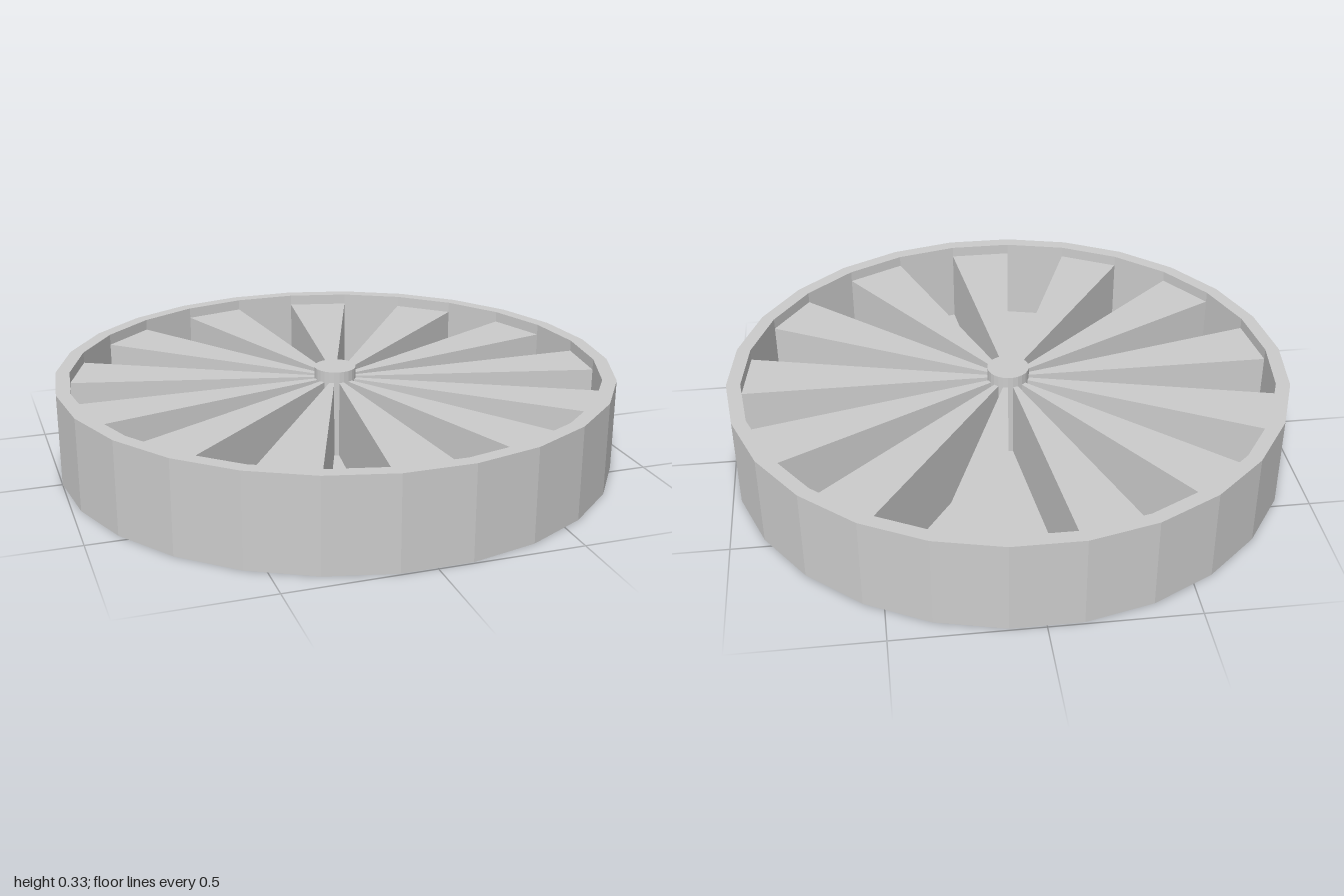
import * as THREE from 'three';

const SIDES = 26;      // alternating raised and sunken wedges
const HUB_R = 0.075;
const INNER_R = 0.95;
const TOP = 0.33;
const HIGH = 0.29;
const LOW = 0.01;

const material = new THREE.MeshStandardMaterial({
  color: 0xcccccc, flatShading: true, side: THREE.DoubleSide,
});

// Point on spoke line i at radius r and height y
function point(i, r, y) {
  const a = (i / SIDES) * Math.PI * 2;
  return [r * Math.cos(a), y, r * Math.sin(a)];
}

// Mesh from a list of four-cornered faces
function quadMesh(name, quads) {
  const positions = [];
  for (const [a, b, c, d] of quads) positions.push(...a, ...b, ...c, ...a, ...c, ...d);
  const geometry = new THREE.BufferGeometry();
  geometry.setAttribute('position', new THREE.Float32BufferAttribute(positions, 3));
  geometry.computeVertexNormals();
  return namedMesh(name, geometry);
}

function namedMesh(name, geometry) {
  const mesh = new THREE.Mesh(geometry, material);
  mesh.name = name;
  return mesh;
}

// Upright face between spoke lines i and j
function upright(i, j, r, y0, y1) {
  return [point(i, r, y0), point(j, r, y0), point(j, r, y1), point(i, r, y1)];
}

export function createModel() {
  const group = new THREE.Group();
  group.name = 'pleatedWheel';

  // Faceted outer band, open below
  const band = new THREE.CylinderGeometry(1, 1, TOP, SIDES, 1, true, Math.PI / 2);
  band.translate(0, TOP / 2, 0);
  group.add(namedMesh('outerBand', band));

  // Flat lip on top of the band
  const lip = new THREE.RingGeometry(INNER_R, 1, SIDES, 1);
  lip.rotateX(-Math.PI / 2).translate(0, TOP, 0);
  group.add(namedMesh('topLip', lip));

  // Disc closing the hub
  const cap = new THREE.CircleGeometry(HUB_R, SIDES);
  cap.rotateX(-Math.PI / 2).translate(0, TOP, 0);
  group.add(namedMesh('hubCap', cap));

  // Pleats: wedges at two heights, joined by upright walls
  const raised = [], sunken = [], pleatWalls = [], rimWall = [], hubWall = [];
  for (let i = 0; i < SIDES; i++) {
    const isHigh = i % 2 === 0;
    const y = isHigh ? HIGH : LOW;
    (isHigh ? raised : sunken).push([
      point(i, HUB_R, y), point(i + 1, HUB_R, y),
      point(i + 1, INNER_R, y), point(i, INNER_R, y),
    ]);
    const wall = [
      point(i, HUB_R, LOW), point(i, INNER_R, LOW),
      point(i, INNER_R, HIGH), point(i, HUB_R, HIGH),
    ];
    pleatWalls.push(isHigh ? wall.reverse() : wall);
    rimWall.push(upright(i, i + 1, INNER_R, y, TOP));
    hubWall.push(upright(i + 1, i, HUB_R, y, TOP));
  }
  group.add(
    quadMesh('raisedWedges', raised),
    quadMesh('sunkenWedges', sunken),
    quadMesh('pleatWalls', pleatWalls),
    quadMesh('innerRimWall', rimWall),
    quadMesh('hubWall', hubWall),
  );

  return group;
}
